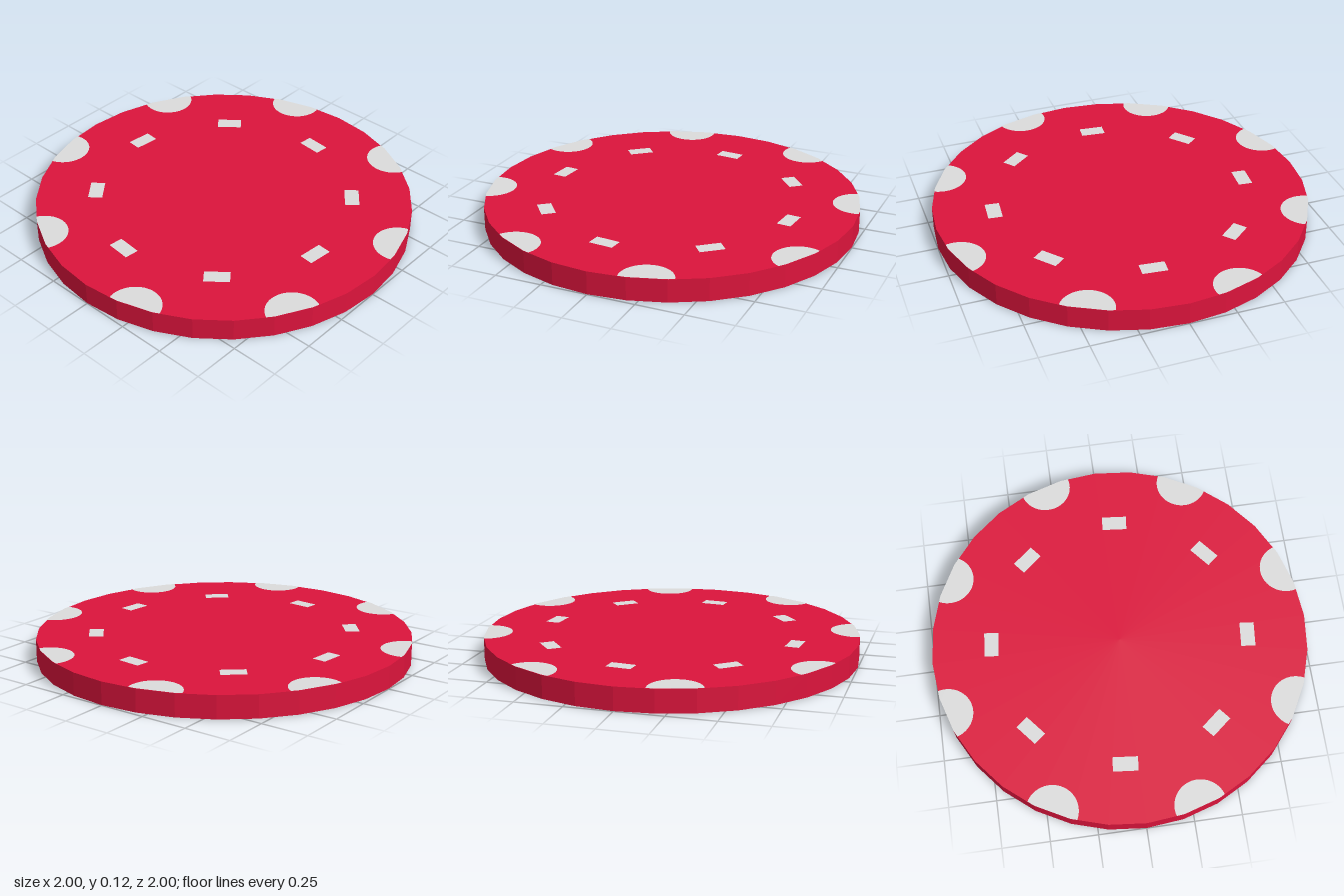
import * as THREE from 'three';

const SIDES = 32, HEIGHT = 0.12, STEP = (Math.PI * 2) / SIDES;

// Distance from the centre to the 32-sided rim at a given angle
function rimRadius(angle) {
  const a = ((angle % STEP) + STEP) % STEP;
  return Math.cos(STEP / 2) / Math.cos(a - STEP / 2);
}

// Round spot centred near the rim, cut off where it meets the edge
function spotShape(angle, centre = 0.99, radius = 0.136) {
  const points = [];
  for (let i = 0; i < 64; i++) {
    const t = (i / 64) * Math.PI * 2;
    const p = new THREE.Vector2(
      centre * Math.cos(angle) + radius * Math.cos(t),
      centre * Math.sin(angle) + radius * Math.sin(t));
    const limit = rimRadius(p.angle());
    if (p.length() > limit) p.setLength(limit);
    points.push(p);
  }
  return new THREE.Shape(points);
}

// Small rectangle lying along the inner ring
function dashShape(angle, centre = 0.683, length = 0.132, width = 0.076) {
  const corners = [[-1, -1], [1, -1], [1, 1], [-1, 1]];
  return new THREE.Shape(corners.map(([u, v]) => new THREE.Vector2(
    centre + (u * width) / 2, (v * length) / 2).rotateAround(new THREE.Vector2(), angle)));
}

export function createModel() {
  const red = new THREE.MeshStandardMaterial({ color: 0xdc143c, flatShading: true });
  red.name = 'crimson';
  const pale = new THREE.MeshStandardMaterial({ color: 0xdcdcdc });
  pale.name = 'pale grey';

  const chip = new THREE.Group();
  chip.name = 'chip';

  // Solid disc
  const disc = new THREE.Mesh(new THREE.CylinderGeometry(1, 1, HEIGHT, SIDES), red);
  disc.name = 'disc';
  disc.position.y = HEIGHT / 2;
  chip.add(disc);

  // Painted face: eight edge spots and eight dashes
  const makeFace = (name) => {
    const face = new THREE.Group();
    face.name = name;
    const addPaint = (label, shape) => {
      const geometry = new THREE.ShapeGeometry(shape).rotateX(-Math.PI / 2);
      const mesh = new THREE.Mesh(geometry, pale);
      mesh.name = label;
      mesh.position.y = HEIGHT / 2 + 0.0015;
      face.add(mesh);
    };
    for (let i = 0; i < 8; i++) {
      const turn = Math.PI / 2 + (i * Math.PI) / 4;
      addPaint('edgeSpot', spotShape(turn + THREE.MathUtils.degToRad(16.7)));
      addPaint('ringDash', dashShape(turn - THREE.MathUtils.degToRad(5.5)));
    }
    face.position.y = HEIGHT / 2;
    chip.add(face);
    return face;
  };

  // The underside is the same face turned over
  makeFace('topFace');
  makeFace('bottomFace').rotation.z = Math.PI;

  return chip;
}
